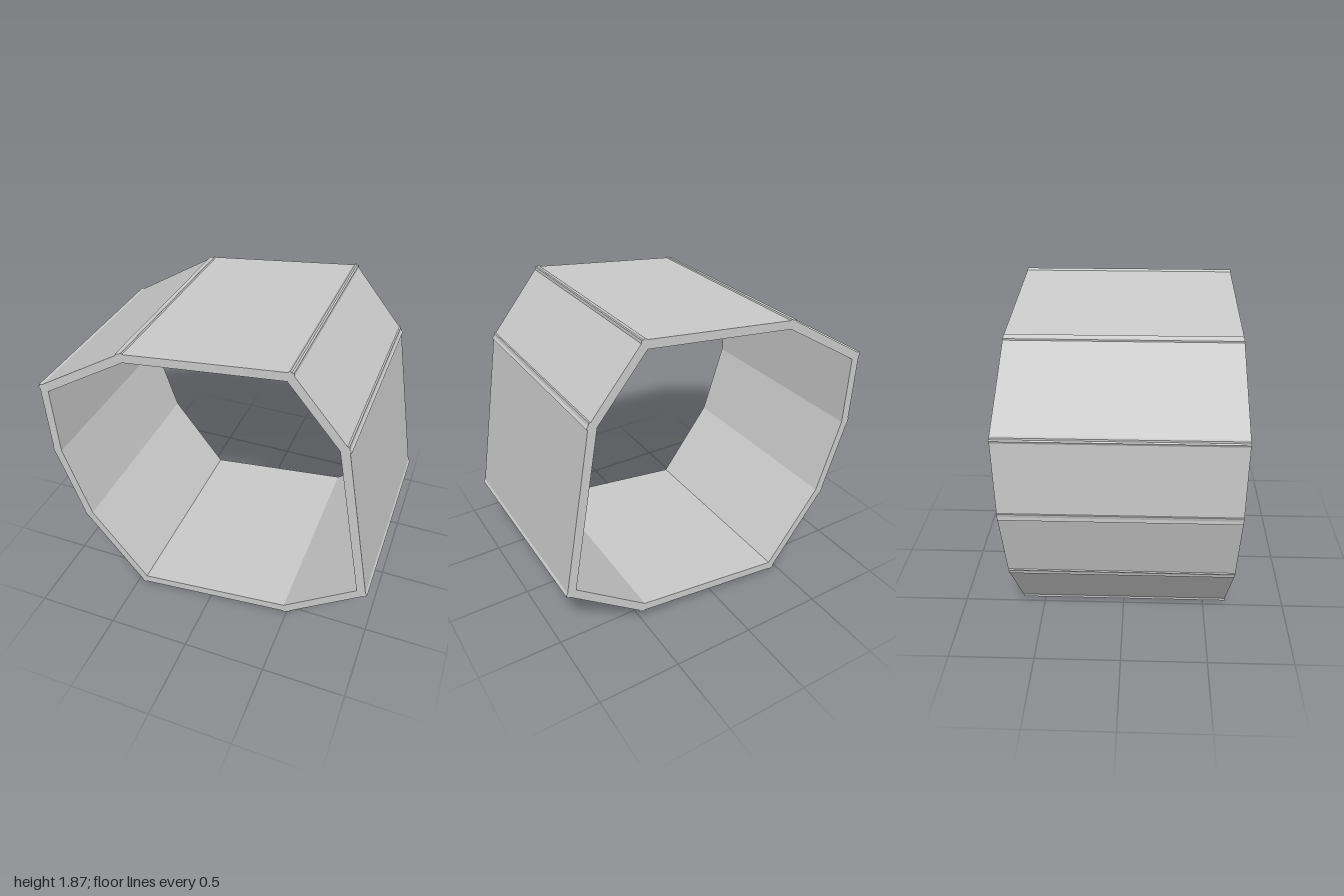
import * as THREE from 'three';

export function createModel() {
  const group = new THREE.Group();
  group.name = 'facetedRing';
  const material = new THREE.MeshStandardMaterial({ color: 0xcccccc, flatShading: true });
  const thickness = 0.051;
  const depth = 1.28;

  // centreline corners of the irregular nine-sided ring, clockwise from the top
  const corners = [
    [0.478, 1.838], [0.783, 1.473], [0.962, 0.478], [0.516, 0.15], [-0.447, 0.036],
    [-0.803, 0.507], [-0.955, 0.975], [-0.97, 1.422], [-0.447, 1.738],
  ].map(([x, y]) => new THREE.Vector2(x, y));

  // one flat slab per side, overlapping its neighbours at the corners
  corners.forEach((a, i) => {
    const b = corners[(i + 1) % corners.length];
    const side = b.clone().sub(a);
    const panel = new THREE.Mesh(
      new THREE.BoxGeometry(side.length() + thickness, thickness, depth), material);
    panel.name = `wallPanel${i + 1}`;
    panel.position.set((a.x + b.x) / 2, (a.y + b.y) / 2, 0);
    panel.rotation.z = side.angle();
    group.add(panel);
  });
  return group;
}
